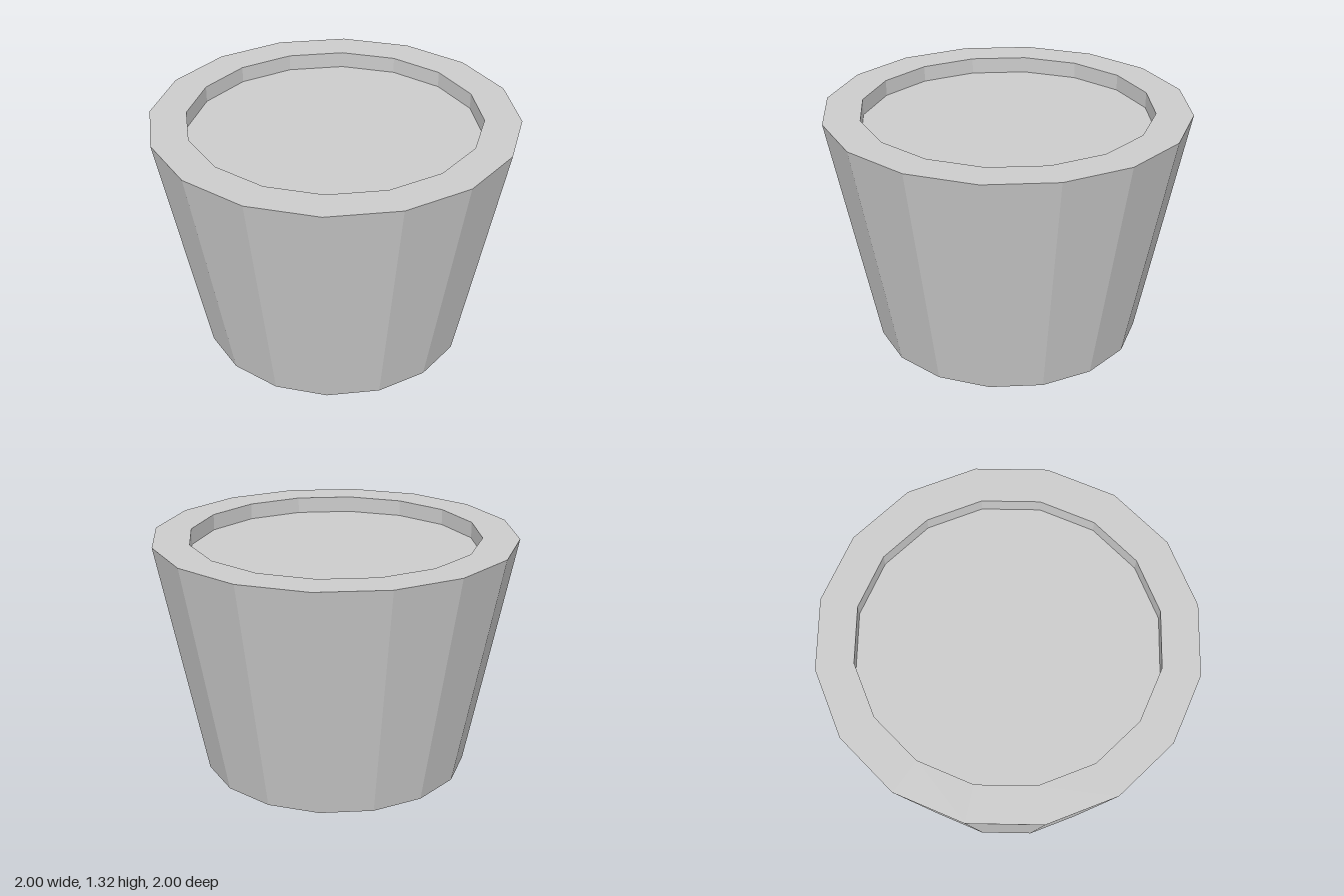
import * as THREE from 'three';

const SIDES = 16;
const HEIGHT = 1.32;
const BASE_RADIUS = 0.74;
const RIM_RADIUS = 1;
const INNER_RADIUS = 0.8;
const FILL_Y = HEIGHT - 0.09;

// Faceted surface of revolution from [radius, height] pairs
function facetedLathe(name, profile, material) {
  const points = profile.map(([r, y]) => new THREE.Vector2(r, y));
  const geometry = new THREE.LatheGeometry(points, SIDES).toNonIndexed();
  geometry.computeVertexNormals();
  const mesh = new THREE.Mesh(geometry, material);
  mesh.name = name;
  return mesh;
}

export function createModel() {
  const group = new THREE.Group();
  group.name = 'plantPot';
  const material = new THREE.MeshStandardMaterial({ color: 0xcccccc, flatShading: true });

  // Closed base, tapered wall, flat rim and short inner wall
  group.add(facetedLathe('pot', [
    [0, 0],
    [BASE_RADIUS, 0],
    [RIM_RADIUS, HEIGHT],
    [INNER_RADIUS, HEIGHT],
    [INNER_RADIUS, FILL_Y],
  ], material));

  // Flat fill sunk just below the rim
  group.add(facetedLathe('soil', [[INNER_RADIUS, FILL_Y], [0, FILL_Y]], material));

  return group;
}
